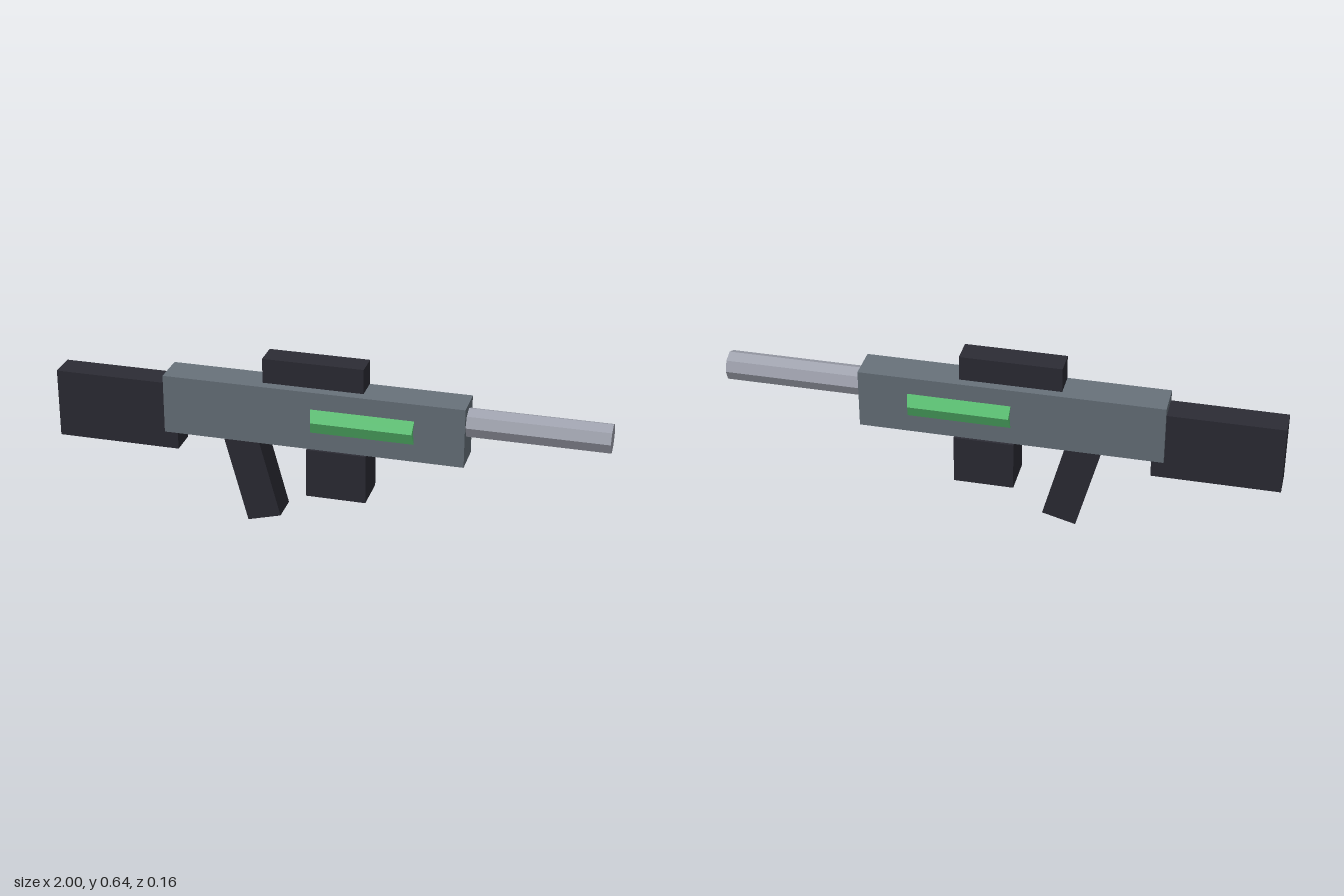
import * as THREE from 'three';

const paint = (name, color) => {
  const m = new THREE.MeshStandardMaterial({ color, flatShading: true });
  m.name = name;
  return m;
};

export function createModel() {
  const model = new THREE.Group();
  model.name = 'blaster';
  const slate = paint('slate grey', 0x68727b);
  const dark = paint('dark charcoal', 0x2c2c35);
  const steel = paint('light steel', 0xa0a3af);
  const green = paint('glowing green', 0x5ecb78);

  const add = (name, geometry, material, x, y) => {
    const mesh = new THREE.Mesh(geometry, material);
    mesh.name = name;
    mesh.position.set(x, y, 0);
    model.add(mesh);
    return mesh;
  };

  // Box given by its side-profile limits and its width in z
  const block = (name, material, x0, x1, y0, y1, width) =>
    add(name, new THREE.BoxGeometry(x1 - x0, y1 - y0, width), material, (x0 + x1) / 2, (y0 + y1) / 2);

  // Eight-sided rod lying along x
  const rod = (radius, length) =>
    new THREE.CylinderGeometry(radius, radius, length, 8).rotateZ(-Math.PI / 2);

  block('body', slate, -0.59, 0.503, 0.322, 0.541, 0.127);
  block('stock', dark, -1, -0.545, 0.253, 0.508, 0.102);
  block('scope', dark, -0.225, 0.14, 0.55, 0.641, 0.091);
  block('magazine', dark, -0.06, 0.157, 0.14, 0.322, 0.146);

  // Grip, leaning back into the body
  const grip = add('grip', new THREE.BoxGeometry(0.126, 0.36, 0.109), dark, -0.27, 0.193);
  grip.rotation.z = THREE.MathUtils.degToRad(15);

  add('barrel', rod(0.0535, 0.52), steel, 0.74, 0.468);

  // Energy cell: its outer ridges show on both sides, with slightly sloped ends
  const cell = rod(0.082, 0.375);
  const p = cell.attributes.position;
  for (let i = 0; i < p.count; i++) {
    if (Math.abs(p.getZ(i)) > 0.08) p.setX(i, p.getX(i) - Math.sign(p.getX(i)) * 0.006);
  }
  cell.computeVertexNormals();
  add('energyCell', cell, green, 0.139, 0.432);

  return model;
}
